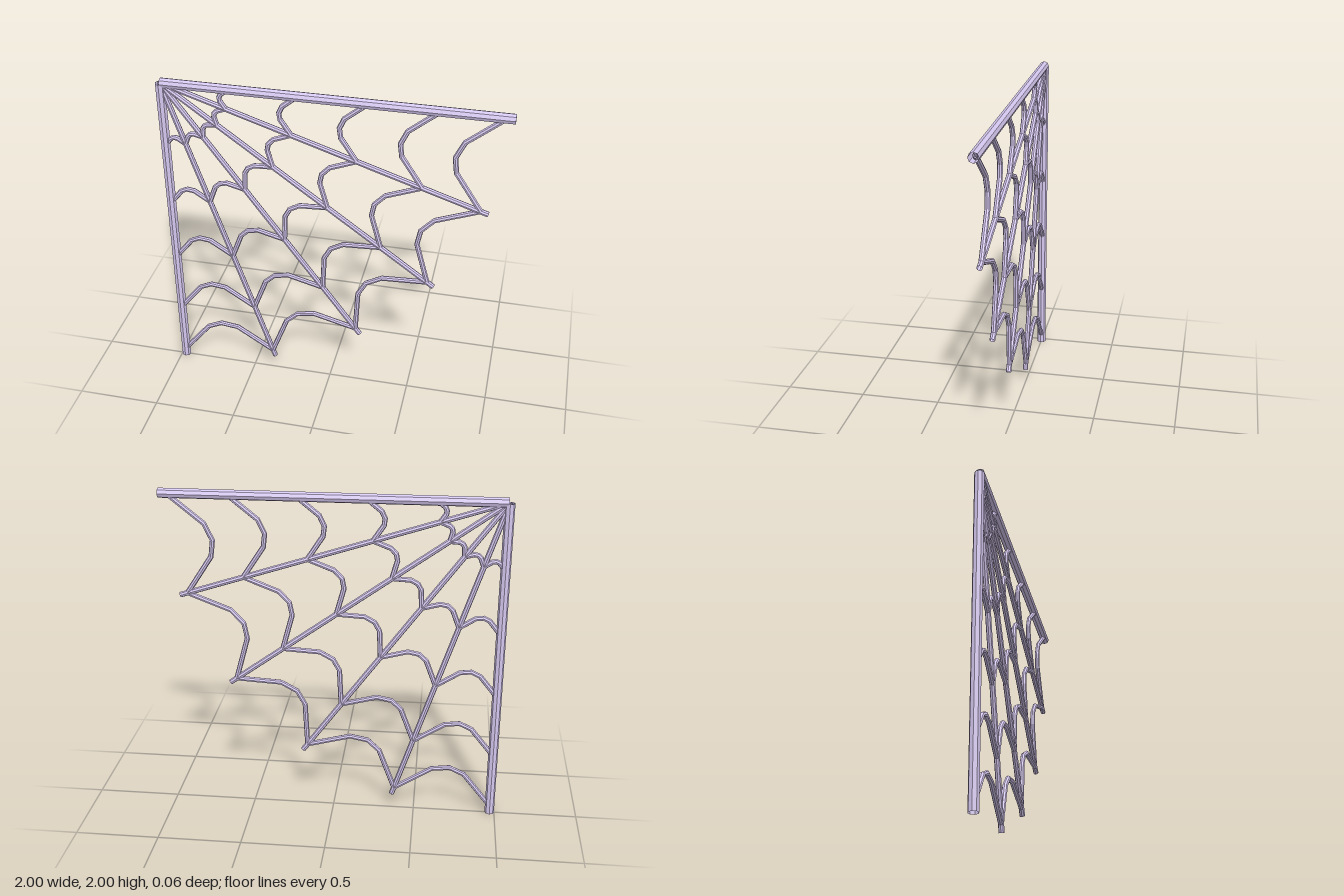
import * as THREE from 'three';

const APEX = new THREE.Vector3(-0.971, 1.971, 0);
const STEP = Math.PI / 10; // 18 degrees between spokes
const RINGS = [0.393, 0.787, 1.181, 1.575, 1.926];
const material = new THREE.MeshStandardMaterial({
  color: 0xd6c8f0, flatShading: true, side: THREE.DoubleSide,
});

// Point in the web's plane: distance from the corner, angle below the top beam
const polar = (r, a) =>
  new THREE.Vector3(APEX.x + r * Math.cos(a), APEX.y - r * Math.sin(a), 0);

// Straight-segment path whose corners land exactly on the tube's rings
class Polyline extends THREE.Curve {
  constructor(points) {
    super();
    this.points = points;
  }
  getPoint(t, target = new THREE.Vector3()) {
    const n = this.points.length - 1;
    const i = Math.min(Math.floor(t * n), n - 1);
    return target.lerpVectors(this.points[i], this.points[i + 1], t * n - i);
  }
  getPointAt(t, target) { return this.getPoint(t, target); }
  getTangentAt(t, target) { return this.getTangent(t, target); }
}

// Open eight-sided tube through the given points
function tube(name, points, radius) {
  const mesh = new THREE.Mesh(
    new THREE.TubeGeometry(new Polyline(points), points.length - 1, radius, 8), material);
  mesh.name = name;
  return mesh;
}

// Thread between two spokes, sagging toward the corner
function thread(a, b) {
  const chord = b.clone().sub(a);
  const inward = new THREE.Vector3(chord.y, -chord.x, 0);
  if (inward.dot(APEX.clone().sub(a)) < 0) inward.negate();
  const profile = [[0, 0], [0.335, 0.3], [0.51, 0.35], [0.665, 0.305], [1, 0]];
  const points = profile.map(([along, sag]) =>
    a.clone().addScaledVector(chord, along).addScaledVector(inward, sag));
  return tube('thread', points, 0.0155);
}

export function createModel() {
  const model = new THREE.Group();
  model.name = 'cornerWeb';

  // Frame: top beam and side post, both open tubes
  model.add(tube('topBeam', [new THREE.Vector3(-0.968, APEX.y, 0), new THREE.Vector3(1, APEX.y, 0)], 0.029));
  model.add(tube('sidePost', [new THREE.Vector3(APEX.x, 0, 0), new THREE.Vector3(APEX.x, 1.968, 0)], 0.029));

  // Spokes fanning out from the corner
  const spokes = new THREE.Group();
  spokes.name = 'spokes';
  for (let i = 1; i <= 4; i++) spokes.add(tube('spoke', [APEX, polar(1.972, i * STEP)], 0.0165));
  model.add(spokes);

  // Rings of sagging threads
  for (const r of RINGS) {
    const ring = new THREE.Group();
    ring.name = 'threadRing';
    for (let i = 0; i < 5; i++) ring.add(thread(polar(r, i * STEP), polar(r, (i + 1) * STEP)));
    model.add(ring);
  }
  return model;
}
